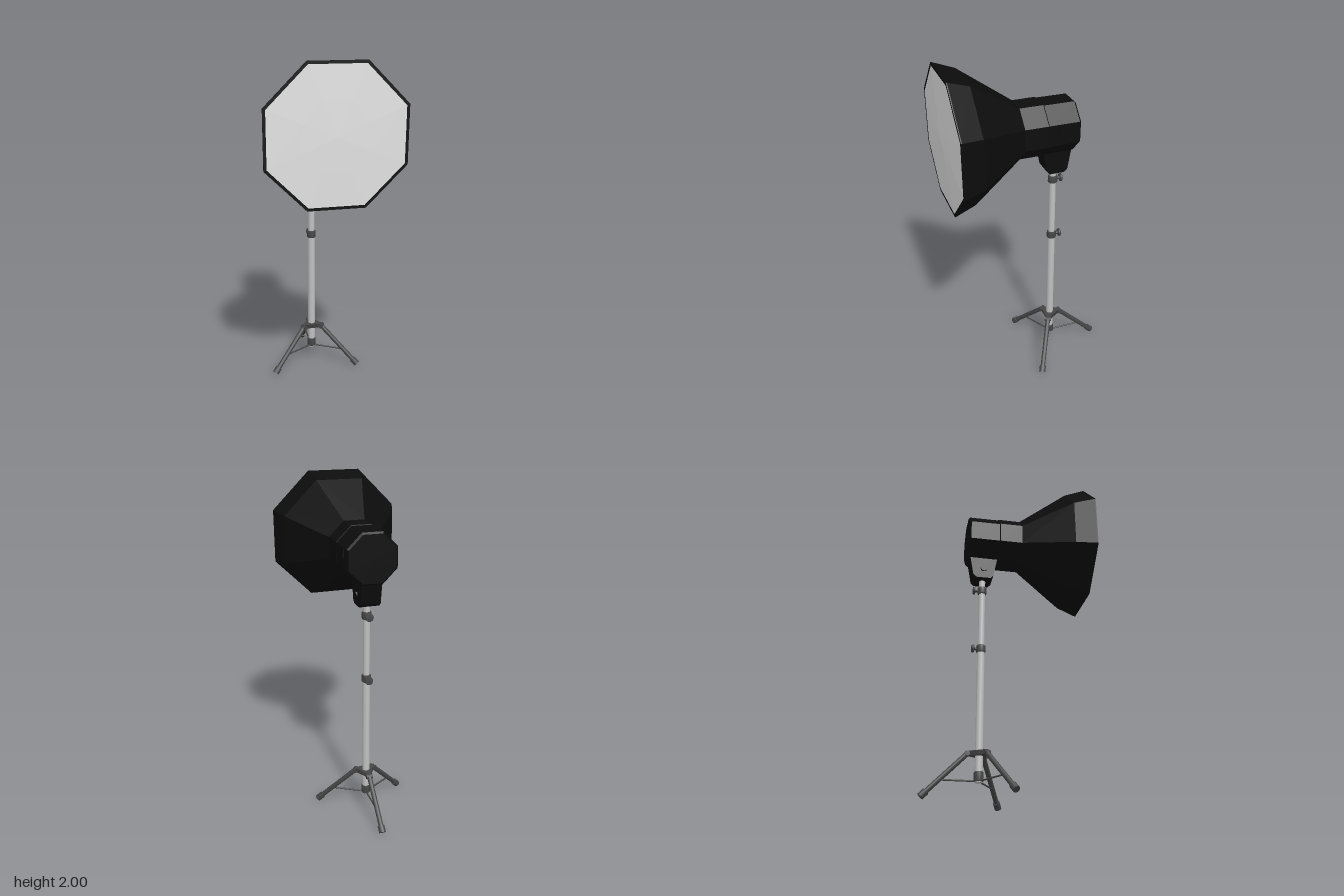
import * as THREE from 'three';

const mat = (name, color, flat = false) => {
  const m = new THREE.MeshStandardMaterial({ color, flatShading: flat });
  m.name = name;
  return m;
};

export function createModel() {
  const black = mat('black fabric', 0x0c0c0c, true);
  const white = mat('diffuser white', 0xe2e2e2, true);
  const metal = mat('pole metal', 0xc0c0c0);
  const grey = mat('dark grey plastic', 0x464646);

  const model = new THREE.Group();
  model.name = 'studioLight';
  const AXIS_Y = 1.617, POLE_Z = -0.16;

  const add = (parent, name, geo, material, x = 0, y = 0, z = 0) => {
    const m = new THREE.Mesh(geo, material);
    m.name = name;
    m.position.set(x, y, z);
    parent.add(m);
    return m;
  };

  // Eight-sided part along z from [apothem, z] pairs
  const octagon = (pairs) => {
    const k = 1 / Math.cos(Math.PI / 8);
    const pts = pairs.map(([a, z]) => new THREE.Vector2(a * k, z));
    return new THREE.LatheGeometry(pts, 8, Math.PI / 8).rotateX(Math.PI / 2);
  };

  // Round bar between two points
  const bar = (parent, name, a, b, r, material, sides = 14) => {
    const d = b.clone().sub(a);
    const m = add(parent, name, new THREE.CylinderGeometry(r, r, d.length(), sides), material);
    m.position.copy(a).add(b).multiplyScalar(0.5);
    m.quaternion.setFromUnitVectors(new THREE.Vector3(0, 1, 0), d.normalize());
    return m;
  };

  // Bevelled collar around the y axis
  const collarGeo = (r, h, c = 0.005) => new THREE.LatheGeometry([
    [0, -h / 2], [r - c, -h / 2], [r, -h / 2 + c], [r, h / 2 - c], [r - c, h / 2], [0, h / 2],
  ].map(([x, y]) => new THREE.Vector2(x, y)), 16);

  // Lamp head
  const head = new THREE.Group();
  head.name = 'lampHead';
  head.position.y = AXIS_Y;
  model.add(head);
  add(head, 'softbox', octagon([[0.15, 0.065], [0.34, 0.35], [0.381, 0.47], [0.381, 0.475], [0.364, 0.475]]), black);
  add(head, 'diffuser', octagon([[0.365, 0.475], [0.18, 0.481], [0, 0.485]]), white);
  add(head, 'lampHousing', octagon([
    [0, -0.262], [0.135, -0.262], [0.145, -0.252], [0.146, -0.075], [0.15, -0.07], [0.15, 0.066],
  ]), black);
  add(head, 'switchPlate', new THREE.BoxGeometry(0.008, 0.05, 0.08), black, 0.147, 0.03, -0.17);

  // Tapered tilt bracket below the housing
  const profile = new THREE.Shape([
    [0.072, 1.5], [0.08, 1.46], [0.1, 1.355], [0.118, 1.337],
    [0.205, 1.337], [0.224, 1.355], [0.242, 1.46], [0.248, 1.5],
  ].map(([x, y]) => new THREE.Vector2(x, y)));
  const bracketGeo = new THREE.ExtrudeGeometry(profile, { depth: 0.12, bevelEnabled: false });
  bracketGeo.translate(0, 0, -0.06).rotateY(Math.PI / 2);
  add(model, 'tiltBracket', bracketGeo, black);
  for (const s of [-1, 1]) {
    add(model, 'tiltBolt', new THREE.CylinderGeometry(0.02, 0.02, 0.012, 12).rotateZ(Math.PI / 2),
      black, s * 0.064, 1.4, POLE_Z);
  }

  // Stand
  const stand = new THREE.Group();
  stand.name = 'stand';
  stand.position.z = POLE_Z;
  model.add(stand);
  add(stand, 'lowerPole', new THREE.CylinderGeometry(0.022, 0.022, 0.78, 20), metal, 0, 0.49, 0);
  add(stand, 'upperPole', new THREE.CylinderGeometry(0.0195, 0.0195, 0.48, 20), metal, 0, 1.11, 0);
  for (const y of [0.885, 1.272]) {
    add(stand, 'collar', collarGeo(0.028, 0.046), grey, 0, y, 0);
    bar(stand, 'knobStem', new THREE.Vector3(0, y, -0.02), new THREE.Vector3(0, y, -0.046), 0.009, grey);
    add(stand, 'knob', collarGeo(0.024, 0.014, 0.003).rotateX(Math.PI / 2), grey, 0, y, -0.049);
  }
  add(stand, 'lowerCollar', collarGeo(0.027, 0.056), grey, 0, 0.131, 0);

  // Tripod: three legs around the pole, the first pointing back
  add(stand, 'tripodHub', new THREE.CylinderGeometry(0.078, 0.078, 0.026, 3).rotateY(Math.PI), grey, 0, 0.257, 0);
  const top = new THREE.Vector3(0, 0.255, -0.066);
  const end = new THREE.Vector3(0, 0.0142, -0.31);
  for (let i = 0; i < 3; i++) {
    const leg = new THREE.Group();
    leg.name = 'tripodLeg';
    leg.rotation.y = (i * Math.PI * 2) / 3;
    stand.add(leg);
    bar(leg, 'legTube', top, end, 0.0145, grey);
    bar(leg, 'foot', end.clone().lerp(top, 0.12), end, 0.02, grey);
    add(leg, 'legHinge', new THREE.CylinderGeometry(0.0145, 0.0145, 0.04, 12).rotateZ(Math.PI / 2),
      grey, 0, 0.255, -0.066);
    bar(leg, 'brace', new THREE.Vector3(0, 0.107, -0.02), new THREE.Vector3(0, 0.107, -0.215), 0.005, grey, 8);
  }

  return model;
}
